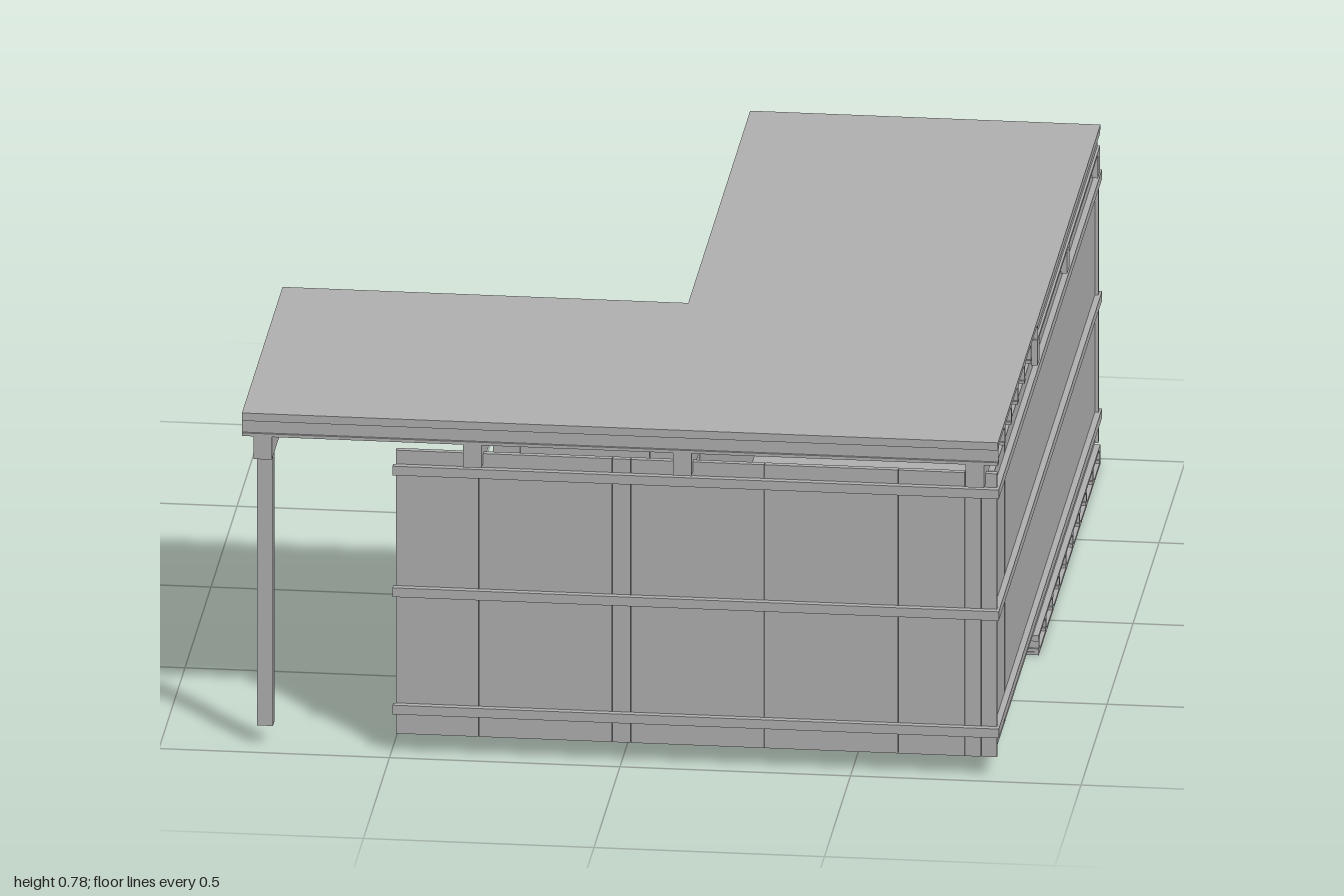
import * as THREE from 'three';

export function createModel() {
  const model = new THREE.Group();
  model.name = 'formworkBuilding';
  const grey = new THREE.MeshStandardMaterial({ color: 0xb2b2b2 });
  grey.name = 'plain grey';

  // Box given by its low and high limits on each axis
  const box = (parent, name, [x0, x1], [y0, y1], [z0, z1]) => {
    const mesh = new THREE.Mesh(new THREE.BoxGeometry(x1 - x0, y1 - y0, z1 - z0), grey);
    mesh.position.set((x0 + x1) / 2, (y0 + y1) / 2, (z0 + z1) / 2);
    mesh.name = name;
    parent.add(mesh);
  };
  const group = (name) => {
    const g = new THREE.Group();
    g.name = name;
    model.add(g);
    return g;
  };
  const around = (c, width) => [c - width / 2, c + width / 2];

  // I-shaped joist running along x or z
  const joist = (parent, name, axis, centre, span, [y0, y1]) => {
    const f = 0.007;
    const parts = [[0.009, [y0 + f, y1 - f]], [0.02, [y0, y0 + f]], [0.02, [y1 - f, y1]]];
    for (const [w, y] of parts) {
      if (axis === 'x') box(parent, name, span, y, around(centre, w));
      else box(parent, name, around(centre, w), y, span);
    }
  };

  // L-shaped roof deck
  const deck = new THREE.Shape();
  [[-0.82, -1], [0.82, -1], [0.82, 0.97], [0.06, 0.97], [0.06, -0.22], [-0.82, -0.22]]
    .forEach(([x, y], i) => (i ? deck.lineTo(x, y) : deck.moveTo(x, y)));
  const deckMesh = new THREE.Mesh(
    new THREE.ExtrudeGeometry(deck, { depth: 0.011, bevelEnabled: false }), grey);
  deckMesh.rotation.x = -Math.PI / 2;
  deckMesh.position.y = 0.769;
  deckMesh.name = 'roofDeck';
  model.add(deckMesh);

  // Roof joists: along x over the front wing, along z over the rear wing
  const roofJoists = group('roofJoists');
  for (let i = 0; i < 7; i++) {
    joist(roofJoists, 'frontWingJoist', 'x', 0.99 - i * 0.1265, [-0.82, 0.82], [0.727, 0.769]);
    joist(roofJoists, 'rearWingJoist', 'z', 0.07 + i * 0.1233, [-0.965, 0.22], [0.727, 0.769]);
  }

  // Main beams and the posts under the front wing
  const beams = group('beams');
  const posts = group('posts');
  for (const x of [-0.775, -0.32, 0.135, 0.77]) {
    box(beams, 'frontWingBeam', around(x, 0.04), [0.675, 0.727], [0.2, 1]);
    box(posts, 'post', around(x, 0.034), [0.045, 0.75], [0.924, 0.954]);
  }
  for (const z of [0.22, -0.35, -0.94])
    box(beams, 'rearWingBeam', [0.06, 0.82], [0.675, 0.727], around(z, 0.04));

  // Wall of side by side panels with three rails on its outer face
  const wall = (name, axis, edges, face, railFace, railSpan, thick = 0.014) => {
    const g = group(name);
    const sign = Math.sign(railFace - face);
    const sort = (a, b) => [Math.min(a, b), Math.max(a, b)];
    const place = (part, along, y, across) => (axis === 'x'
      ? box(g, part, along, y, across) : box(g, part, across, y, along));
    for (let i = 0; i < edges.length - 1; i++)
      place('panel', [edges[i] + 0.0005, edges[i + 1] - 0.0005], [0.045, 0.697],
        sort(face, face - sign * thick));
    for (const y of [0.105, 0.375, 0.655])
      place('rail', railSpan, around(y, 0.021), sort(face, railFace));
  };
  wall('frontWall', 'x', [-0.49, -0.31, -0.02, 0.02, 0.31, 0.6, 0.745, 0.78, 0.815],
    0.97, 0.985, [-0.495, 0.82]);
  wall('longSideWall', 'z', [-0.978, -0.195, -0.155, -0.045, 0.755, 0.865, 0.9, 0.955],
    0.807, 0.82, [-1, 0.985]);
  wall('rearWall', 'x', [0.07, 0.2, 0.47, 0.65, 0.745, 0.78, 0.815],
    -0.99, -1, [0.06, 0.82]);
  wall('innerSideWall', 'z', [-0.978, -0.78, -0.6, -0.4, -0.2, -0.045, 0.235],
    0.073, 0.06, [-1, 0.225]);
  wall('returnWall', 'x', [-0.36, -0.3, -0.02, 0.073],
    0.24, 0.225, [-0.365, 0.073]);

  // Floor: bottom sheet with joists on it
  const floor = group('floor');
  box(floor, 'floorSheet', [0.06, 0.82], [0, 0.007], [-0.968, 0.217]);
  for (let i = 0; i < 10; i++)
    joist(floor, 'floorJoist', 'x', 0.205 - i * 0.1295, [0.06, 0.82], [0.007, 0.038]);
  box(floor, 'floorTop', [0.06, 0.82], [0.038, 0.045], [-0.968, 0.217]);

  return model;
}
